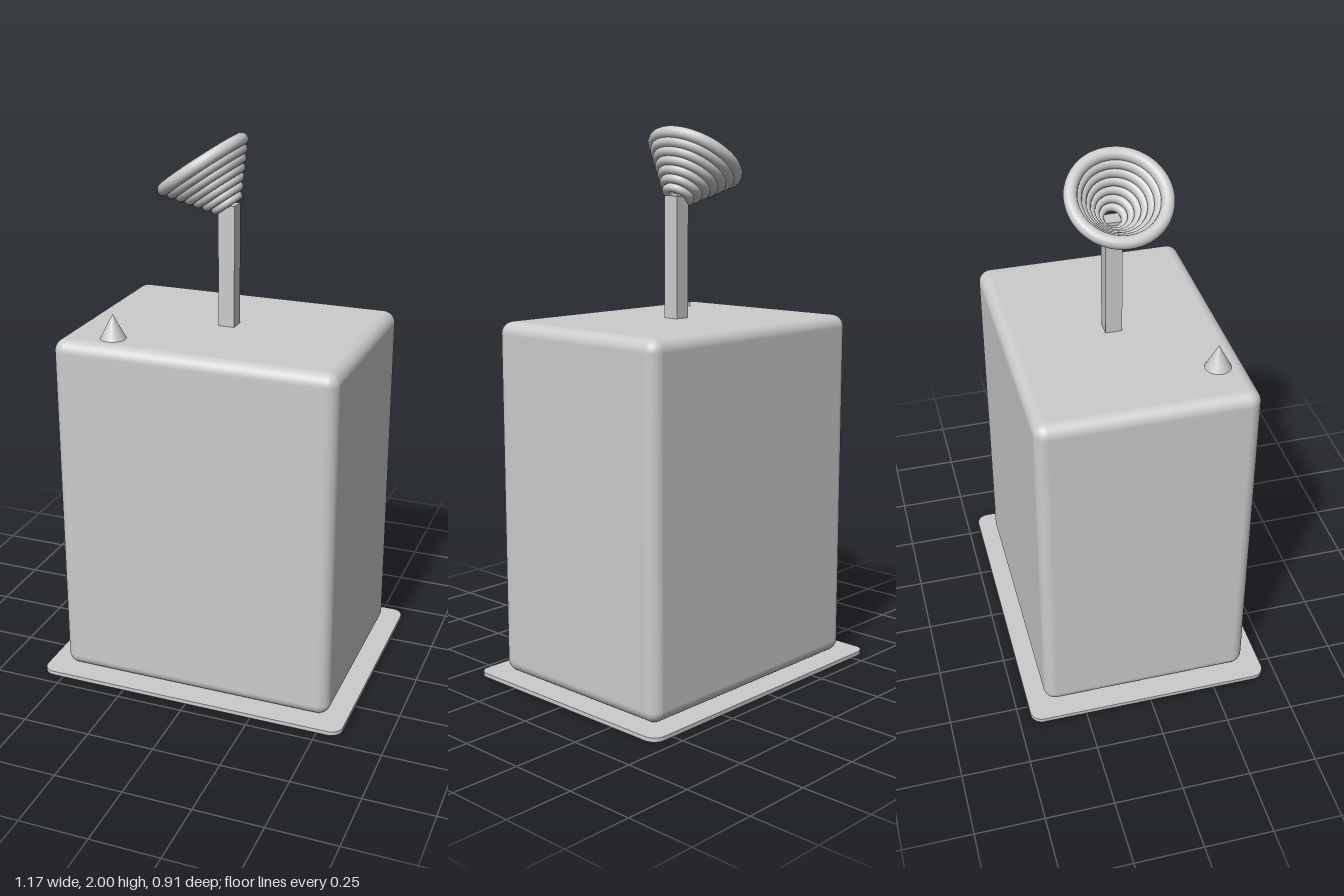
import * as THREE from 'three';
import { RoundedBoxGeometry } from 'three/addons/geometries/RoundedBoxGeometry.js';

const material = new THREE.MeshStandardMaterial({ color: 0xcccccc });

function addPart(parent, name, geometry, x = 0, y = 0, z = 0) {
  const mesh = new THREE.Mesh(geometry, material);
  mesh.name = name;
  mesh.position.set(x, y, z);
  parent.add(mesh);
  return mesh;
}

// Flat slab with rounded corners, lying on y = 0
function slabGeometry(width, depth, height, r) {
  const w = width / 2, d = depth / 2;
  const shape = new THREE.Shape();
  shape.absarc(w - r, d - r, r, 0, Math.PI / 2);
  shape.absarc(-w + r, d - r, r, Math.PI / 2, Math.PI);
  shape.absarc(-w + r, -d + r, r, Math.PI, Math.PI * 1.5);
  shape.absarc(w - r, -d + r, r, Math.PI * 1.5, Math.PI * 2);
  return new THREE.ExtrudeGeometry(shape, { depth: height, bevelEnabled: false, curveSegments: 8 })
    .rotateX(-Math.PI / 2);
}

export function createModel() {
  const model = new THREE.Group();

  // Base plate and rounded cabinet
  addPart(model, 'basePlate', slabGeometry(1.17, 0.91, 0.015, 0.045));
  addPart(model, 'cabinet', new RoundedBoxGeometry(1.036, 1.302, 0.778, 6, 0.045), 0, 0.666, 0);

  // Small cone on the front corner of the lid
  addPart(model, 'cone', new THREE.ConeGeometry(0.047, 0.09, 32), -0.324, 1.36, 0.288);

  // Square post
  addPart(model, 'post', new THREE.BoxGeometry(0.06, 0.45, 0.06), -0.002, 1.53, 0);

  // Tilted horn of stacked rings, widening away from the post
  const horn = new THREE.Group();
  horn.name = 'horn';
  horn.position.set(-0.1, 1.885, 0);
  horn.rotation.z = THREE.MathUtils.degToRad(35);
  const rings = 7;
  for (let i = 0; i < rings; i++) {
    const t = i / (rings - 1);
    const radius = THREE.MathUtils.lerp(0.045, 0.16, t);
    const tube = THREE.MathUtils.lerp(0.016, 0.023, t);
    const ring = new THREE.TorusGeometry(radius, tube, 16, 64).rotateX(Math.PI / 2);
    addPart(horn, `hornRing${i + 1}`, ring, 0, -0.155 * (1 - t), 0);
  }
  model.add(horn);

  return model;
}
